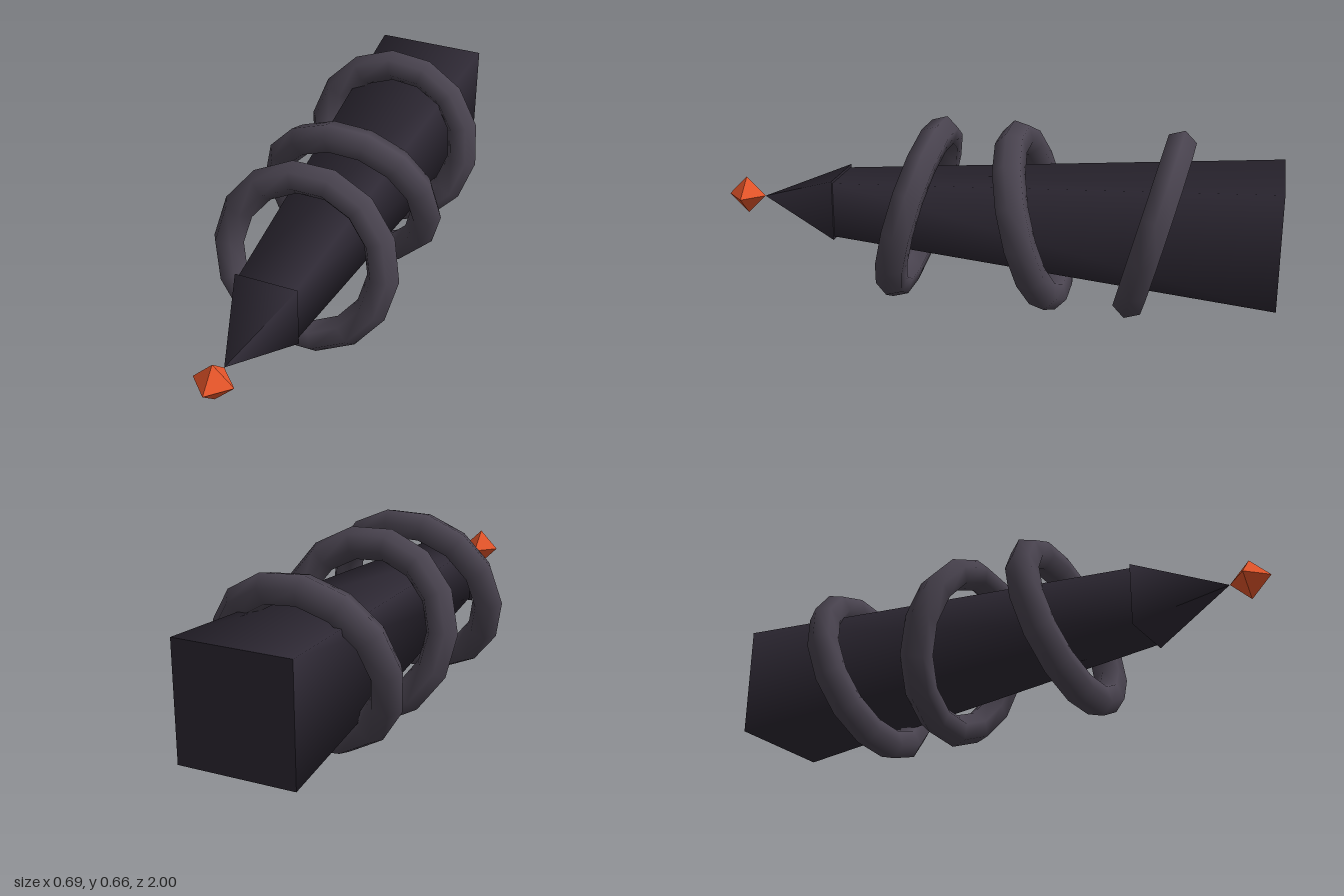
import * as THREE from 'three';

const AXIS_Y = 0.333;

function addPart(group, name, geometry, color, z) {
  const mesh = new THREE.Mesh(geometry, new THREE.MeshStandardMaterial({ color }));
  mesh.name = name;
  mesh.position.set(0, AXIS_Y, z);
  group.add(mesh);
  return mesh;
}

// Square tapered bar along z, given by its half widths at front and back
function squareTaper(front, back, length) {
  const k = Math.SQRT2;
  return new THREE.CylinderGeometry(front * k, back * k, length, 4)
    .rotateY(Math.PI / 4)
    .rotateX(Math.PI / 2);
}

export function createModel() {
  const group = new THREE.Group();
  const dark = 0x2d2833;

  // Tapered shaft and slightly wider pointed tip
  addPart(group, 'shaft', squareTaper(0.1, 0.203, 1.56), dark, -0.22);
  addPart(group, 'tip', squareTaper(0, 0.11, 0.3), dark, 0.71);

  // Glowing gem in front of the tip
  addPart(group, 'gem', new THREE.OctahedronGeometry(0.07), 0xe8562a, 0.93);

  // Three loose rings, leaning alternately back and forward
  for (let i = 0; i < 3; i++) {
    const ring = addPart(group, 'ring' + (i + 1),
      new THREE.TorusGeometry(0.286, 0.057, 6, 14), 0x4a4450, 0.267 - i * 0.42);
    ring.rotation.set(i % 2 ? 0.26 : -0.26, 0, i * 0.4);
  }
  return group;
}
